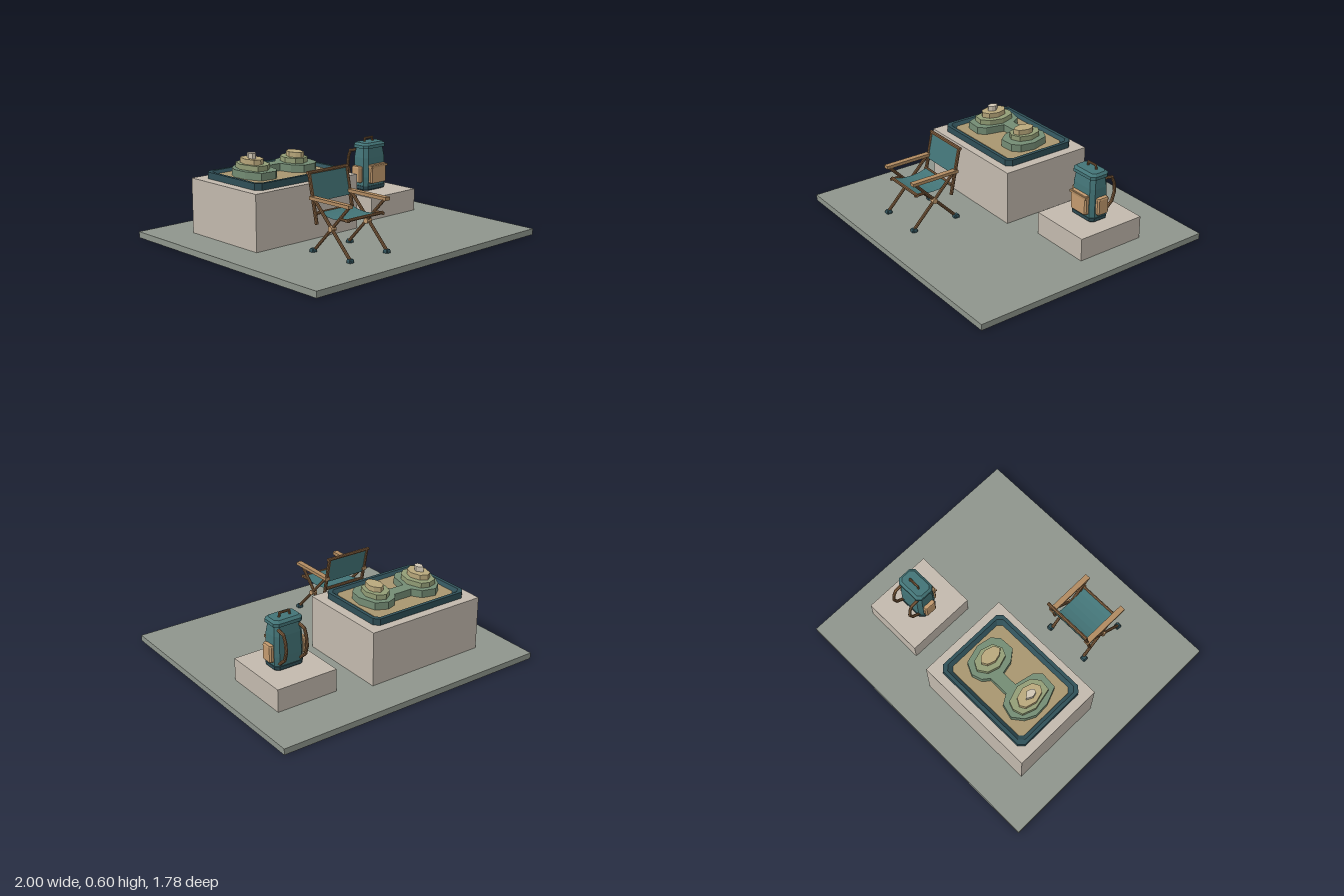
import * as THREE from 'three';

const mat = (color, extra = {}) => new THREE.MeshStandardMaterial({ color, flatShading: true, ...extra });
const M = {
  ground: mat(0x8e958c), stone: mat(0xc2b9ad), teal: mat(0x437477), dark: mat(0x2f4f57),
  tan: mat(0xc29a6e), wood: mat(0xb08a60), brown: mat(0x83603f), sand: mat(0xa8966f),
  fabric: mat(0x437477, { side: THREE.DoubleSide }),
  contours: [mat(0x748c74), mat(0x929d76), mat(0xb9a87c), mat(0xd0c6b4)],
};
const V = (x, y, z) => new THREE.Vector3(x, y, z);

function add(parent, name, geometry, material) {
  const mesh = new THREE.Mesh(geometry, material);
  mesh.name = name;
  parent.add(mesh);
  return mesh;
}

function group(parent, name) {
  const g = new THREE.Group();
  g.name = name;
  parent.add(g);
  return g;
}

// Box given by its limits
function box(parent, name, x0, x1, y0, y1, z0, z1, material) {
  const mesh = add(parent, name, new THREE.BoxGeometry(x1 - x0, y1 - y0, z1 - z0), material);
  mesh.position.set((x0 + x1) / 2, (y0 + y1) / 2, (z0 + z1) / 2);
  return mesh;
}

// Round rod between two points
function rod(parent, name, a, b, r, material, sides = 8) {
  const mesh = add(parent, name, new THREE.CylinderGeometry(r, r, a.distanceTo(b), sides), material);
  mesh.position.copy(a).lerp(b, 0.5);
  mesh.quaternion.setFromUnitVectors(V(0, 1, 0), b.clone().sub(a).normalize());
  return mesh;
}

// Rods along a list of points
function path(parent, name, pts, r, material) {
  const g = group(parent, name);
  for (let i = 1; i < pts.length; i++) {
    rod(g, name + 'Section', pts[i - 1], pts[i], r, material);
    if (i < pts.length - 1) add(g, name + 'Joint', new THREE.SphereGeometry(r, 8, 6), material).position.copy(pts[i]);
  }
}

// Chamfered rectangles [y, halfWidth, halfDepth, chamfer] joined bottom to top
function loft(rings, capped = true) {
  const loops = rings.map(([y, w, d, c]) => [
    V(w - c, y, d), V(w, y, d - c), V(w, y, c - d), V(w - c, y, -d),
    V(c - w, y, -d), V(-w, y, c - d), V(-w, y, d - c), V(c - w, y, d)]);
  const tris = [];
  for (let k = 0; k + 1 < loops.length; k++) {
    const lo = loops[k], hi = loops[k + 1];
    for (let i = 0; i < 8; i++) {
      const j = (i + 1) % 8;
      tris.push(lo[i], lo[j], hi[j], lo[i], hi[j], hi[i]);
    }
  }
  if (capped) {
    const lo = loops[0], hi = loops[loops.length - 1];
    for (let i = 1; i < 7; i++) tris.push(hi[0], hi[i], hi[i + 1], lo[0], lo[i + 1], lo[i]);
  }
  const geo = new THREE.BufferGeometry().setFromPoints(tris);
  geo.computeVertexNormals();
  return geo;
}

// Flat slab with an outline of [x, z] points
function slab(parent, name, outline, y0, y1, material) {
  const shape = new THREE.Shape(outline.map(([x, z]) => new THREE.Vector2(x, -z)));
  const geo = new THREE.ExtrudeGeometry(shape, { depth: y1 - y0, bevelEnabled: false });
  geo.rotateX(-Math.PI / 2);
  add(parent, name, geo, material).position.y = y0;
}

function buildReliefMap(root) {
  const g = group(root, 'reliefMap');
  const at = (mesh) => mesh.position.set(-0.308, 0, -0.278);
  at(add(g, 'trayRim', loft([[0.42, 0.377, 0.277, 0.034], [0.465, 0.377, 0.277, 0.034],
    [0.465, 0.353, 0.253, 0.03], [0.44, 0.327, 0.227, 0.026]], false), M.dark));
  at(add(g, 'sandBed', loft([[0.42, 0.33, 0.23, 0.026], [0.447, 0.327, 0.227, 0.026]]), M.sand));

  // Lowest contour joins both hills with a saddle
  slab(g, 'lowContour', [[-0.6, -0.235], [-0.605, -0.34], [-0.57, -0.41], [-0.5, -0.465], [-0.405, -0.44],
    [-0.365, -0.375], [-0.225, -0.375], [-0.19, -0.42], [-0.12, -0.443], [-0.04, -0.405], [-0.005, -0.28],
    [-0.025, -0.18], [-0.075, -0.135], [-0.18, -0.13], [-0.235, -0.2], [-0.255, -0.29], [-0.365, -0.29],
    [-0.395, -0.155], [-0.44, -0.113], [-0.555, -0.122]], 0.445, 0.498, M.contours[0]);

  const west = [
    [[-0.577, -0.315], [-0.545, -0.405], [-0.48, -0.425], [-0.425, -0.405], [-0.39, -0.3], [-0.415, -0.205],
      [-0.47, -0.16], [-0.545, -0.17]],
    [[-0.555, -0.29], [-0.535, -0.365], [-0.497, -0.387], [-0.45, -0.36], [-0.43, -0.29], [-0.45, -0.225],
      [-0.497, -0.198], [-0.535, -0.22]],
    [[-0.524, -0.29], [-0.502, -0.332], [-0.47, -0.295], [-0.478, -0.268], [-0.497, -0.25], [-0.516, -0.258]]];
  const east = [
    [[-0.215, -0.285], [-0.19, -0.365], [-0.13, -0.405], [-0.075, -0.375], [-0.05, -0.29], [-0.075, -0.21],
      [-0.14, -0.182], [-0.19, -0.205]],
    [[-0.178, -0.285], [-0.16, -0.337], [-0.123, -0.358], [-0.09, -0.327], [-0.08, -0.285], [-0.1, -0.22],
      [-0.14, -0.203], [-0.165, -0.235]]];
  for (const [name, levels] of [['westHill', west], ['eastHill', east]])
    levels.forEach((o, i) => slab(g, name + 'Contour', o, 0.498 + i * 0.035, 0.533 + i * 0.035, M.contours[i + 1]));
}

function buildChair(root) {
  const g = group(root, 'foldingChair');
  g.position.x = -0.31;
  for (const s of [-1, 1]) {
    const x = s * 0.161, xi = s * 0.15;
    // Crossed legs, feet and pivot
    rod(g, 'crossLeg', V(x, 0.06, 0.612), V(x, 0.383, 0.295), 0.011, M.brown);
    rod(g, 'crossLeg', V(xi, 0.06, 0.288), V(xi, 0.383, 0.597), 0.011, M.brown);
    rod(g, 'pivot', V(s * 0.135, 0.222, 0.45), V(s * 0.176, 0.222, 0.45), 0.019, M.tan);
    for (const z of [0.617, 0.28])
      add(g, 'foot', loft([[0.04, 0.02, 0.02, 0.006], [0.055, 0.02, 0.02, 0.006], [0.065, 0.014, 0.014, 0.004]]), M.dark)
        .position.set(x, 0, z);
    // Armrest, back post and seat bracket
    box(g, 'armrest', x - 0.019, x + 0.019, 0.38, 0.402, 0.265, 0.62, M.wood);
    rod(g, 'backPost', V(x, 0.225, 0.314), V(x, 0.552, 0.243), 0.012, M.brown);
    rod(g, 'seatBracket', V(xi, 0.295, 0.595), V(xi, 0.295, 0.52), 0.01, M.brown);
  }
  rod(g, 'topRail', V(-0.176, 0.547, 0.243), V(0.176, 0.547, 0.243), 0.012, M.brown);
  for (const z of [0.31, 0.578]) rod(g, 'seatRail', V(-0.16, 0.297, z), V(0.16, 0.297, z), 0.011, M.brown);

  // Sagging seat sling
  const seat = new THREE.PlaneGeometry(0.285, 0.268, 1, 6);
  seat.rotateX(-Math.PI / 2);
  const p = seat.attributes.position;
  for (let i = 0; i < p.count; i++) p.setY(i, -0.024 * (1 - (p.getZ(i) / 0.134) ** 2));
  seat.computeVertexNormals();
  add(g, 'seatSling', seat, M.fabric).position.set(0, 0.304, 0.444);

  // Back sling follows the lean of the posts
  const back = add(g, 'backSling', new THREE.BoxGeometry(0.305, 0.18, 0.008), M.teal);
  back.position.set(0, 0.452, 0.265);
  back.rotation.x = -0.214;
}

function buildBackpack(root) {
  const g = group(root, 'backpack');
  g.position.set(0.583, 0, -0.277);
  add(g, 'body', loft([[0.222, 0.104, 0.07, 0.025], [0.3, 0.107, 0.074, 0.025],
    [0.44, 0.104, 0.071, 0.025], [0.515, 0.094, 0.062, 0.025]]), M.teal);
  add(g, 'base', loft([[0.2, 0.094, 0.06, 0.02], [0.21, 0.107, 0.073, 0.025], [0.235, 0.11, 0.076, 0.025]]), M.dark);
  add(g, 'lid', loft([[0.508, 0.108, 0.073, 0.025], [0.53, 0.108, 0.073, 0.025], [0.546, 0.092, 0.055, 0.02]]), M.teal);
  path(g, 'handle', [V(-0.04, 0.543, -0.01), V(-0.036, 0.572, -0.01), V(0.036, 0.572, -0.01), V(0.04, 0.543, -0.01)],
    0.008, M.brown);

  // Front pocket with its flap
  const pocket = add(g, 'frontPocket', loft([[-0.068, 0.07, 0.016, 0.008], [-0.06, 0.076, 0.02, 0.01],
    [0.06, 0.076, 0.02, 0.01], [0.068, 0.07, 0.016, 0.008]]), M.tan);
  pocket.position.set(0, 0.325, 0.082);
  box(g, 'pocketFlap', -0.08, 0.08, 0.372, 0.388, 0.07, 0.106, M.wood);

  for (const s of [-1, 1]) {
    // Side pockets and straps
    const side = add(g, 'sidePocket', loft([[0.262, 0.014, 0.04, 0.008], [0.27, 0.018, 0.046, 0.01],
      [0.368, 0.018, 0.046, 0.01], [0.378, 0.014, 0.04, 0.008]]), M.tan);
    side.position.set(s * 0.118, 0, -0.002);
    const x = s * 0.078;
    path(g, 'shoulderStrap', [V(x, 0.485, -0.06), V(x, 0.475, -0.115), V(x, 0.43, -0.135),
      V(x, 0.365, -0.143), V(x, 0.3, -0.123), V(x, 0.25, -0.065)], 0.011, M.brown);
  }
}

export function createModel() {
  const root = new THREE.Group();
  root.name = 'campDisplay';
  box(root, 'groundSlab', -1, 1, 0, 0.042, -0.89, 0.89, M.ground);
  box(root, 'mapPlinth', -0.75, 0.135, 0.042, 0.42, -0.615, 0.055, M.stone);
  box(root, 'packPlinth', 0.36, 0.802, 0.042, 0.2, -0.53, -0.03, M.stone);
  buildReliefMap(root);
  buildChair(root);
  buildBackpack(root);
  return root;
}
